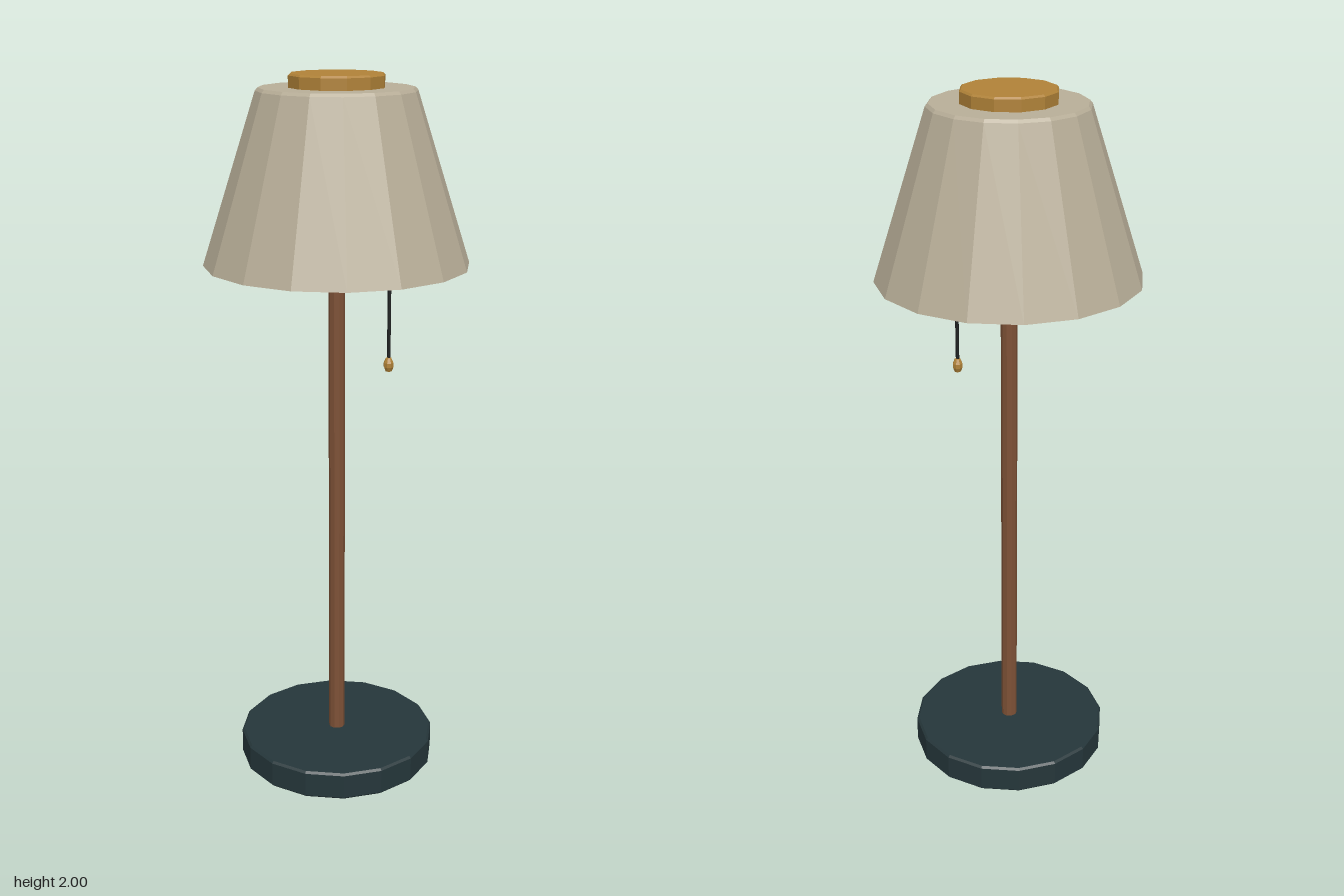
import * as THREE from 'three';

export function createModel() {
  const lamp = new THREE.Group();
  lamp.name = 'tableLamp';

  const paint = (color) => new THREE.MeshStandardMaterial({ color, flatShading: true });
  const linen = paint(0xb8ae98);
  const brass = paint(0xb08238);
  const wood = paint(0x7d5136);
  const darkMetal = paint(0x25363a);
  const black = paint(0x1c1f1f);

  // Faceted turned part from [radius, height] pairs, bottom to top
  function turned(name, profile, sides, material, x = 0) {
    const points = profile.map(([r, y]) => new THREE.Vector2(r, y));
    const mesh = new THREE.Mesh(new THREE.LatheGeometry(points, sides), material);
    mesh.name = name;
    mesh.position.x = x;
    lamp.add(mesh);
  }

  // Closed disc with a small bevel on both rims
  const disc = (r, y0, y1, b) => [
    [0, y0], [r - b, y0], [r, y0 + b], [r, y1 - b], [r - b, y1], [0, y1],
  ];

  turned('base', disc(0.285, 0, 0.082, 0.006), 16, darkMetal);
  turned('pole', [[0, 0.07], [0.023, 0.07], [0.023, 1.55], [0, 1.55]], 10, wood);

  // Tapered shade, closed below and above
  turned('shade', [[0, 1.495], [0.363, 1.495], [0.215, 1.956], [0.208, 1.964], [0, 1.964]], 16, linen);
  turned('topCap', disc(0.13, 1.955, 2, 0.005), 12, brass);

  // Pull cord with its small bead
  turned('pullCord', [[0, 1.235], [0.005, 1.235], [0.005, 1.52], [0, 1.52]], 6, black, 0.15);
  turned('pullBead', [[0, 1.203], [0.009, 1.206], [0.014, 1.218], [0.014, 1.23], [0.008, 1.243], [0, 1.247]], 8, brass, 0.15);

  return lamp;
}
